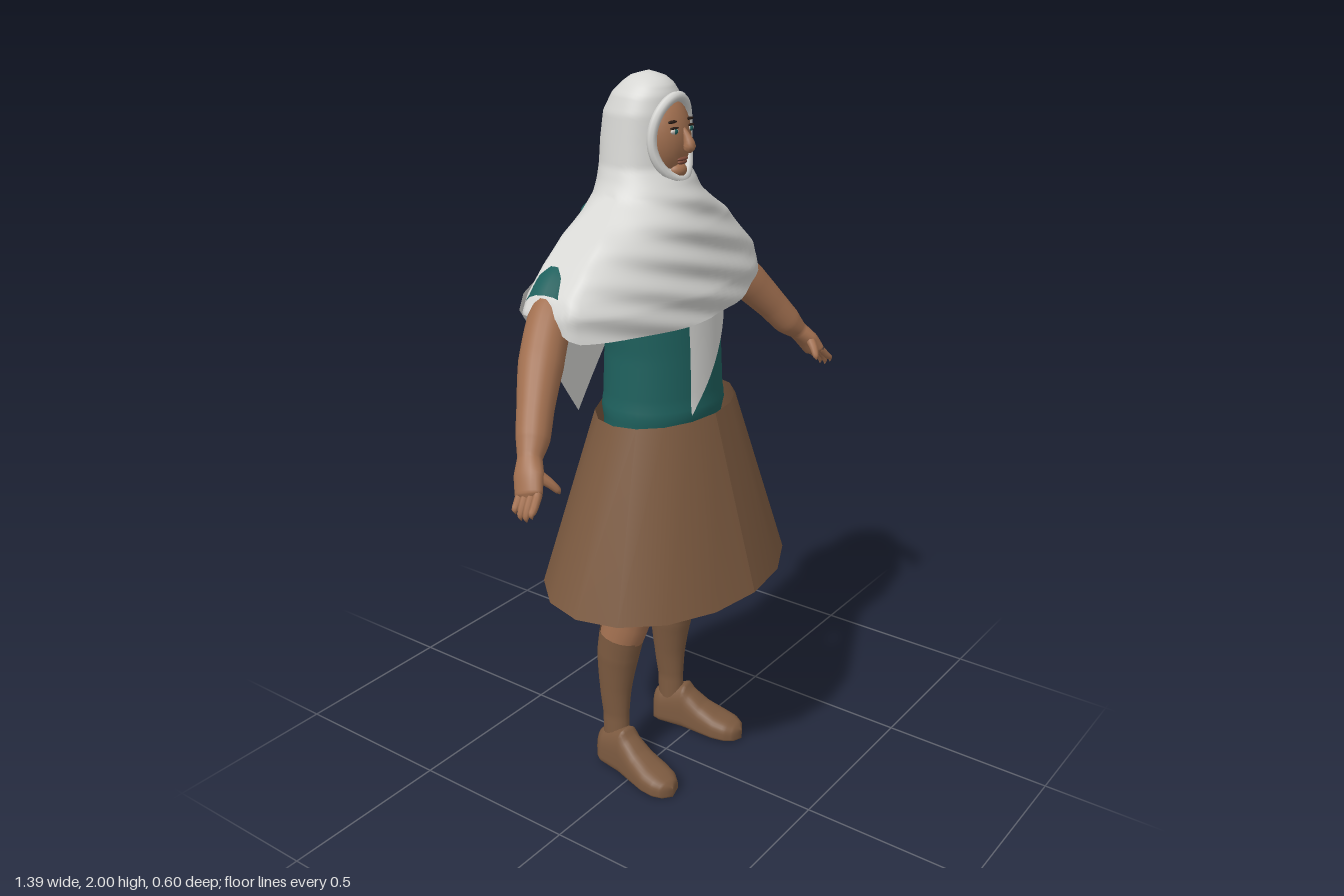
import * as THREE from 'three';
import { mergeVertices } from 'three/addons/utils/BufferGeometryUtils.js';

const mat = (name, color, side = THREE.FrontSide) => {
  const m = new THREE.MeshStandardMaterial({ color, side });
  m.name = name;
  return m;
};

// Smooth surface from a rule (u, v) -> [x, y, z]; it faces du x dv.
function grid(fn, nu, nv) {
  const pos = [], idx = [], w = nu + 1;
  for (let j = 0; j <= nv; j++) for (let i = 0; i <= nu; i++) pos.push(...fn(i / nu, j / nv));
  for (let j = 0; j < nv; j++) for (let i = 0; i < nu; i++) {
    const a = j * w + i, c = a + w;
    idx.push(a, a + 1, c, a + 1, c + 1, c);
  }
  let g = new THREE.BufferGeometry();
  g.setAttribute('position', new THREE.Float32BufferAttribute(pos, 3));
  g.setIndex(idx);
  g = mergeVertices(g, 1e-5);
  g.computeVertexNormals();
  return g;
}

// Linear lookup in rows sorted by their first column.
function lookup(rows, k) {
  let i = 0;
  while (i < rows.length - 2 && k > rows[i + 1][0]) i++;
  const a = rows[i], b = rows[i + 1];
  const t = THREE.MathUtils.clamp((k - a[0]) / (b[0] - a[0]), 0, 1);
  return a.map((v, c) => v + (b[c] - v) * t);
}

// Tapered limb through points [x, y, z, depth radius, width radius].
function limb(pts, side = 1, nu = 18, nv = 28) {
  const curve = new THREE.CatmullRomCurve3(pts.map(p => new THREE.Vector3(p[0] * side, p[1], p[2])));
  const radii = pts.map((p, i) => [i, p[3], p[4] ?? p[3]]);
  return grid((u, v) => {
    const p = curve.getPoint(v), T = curve.getTangent(v);
    const N = new THREE.Vector3(0, 0, 1).addScaledVector(T, -T.z).normalize();
    const B = T.clone().cross(N);
    const [, rn, rb] = lookup(radii, v * (pts.length - 1));
    const a = u * Math.PI * 2;
    return p.addScaledVector(N, rn * Math.cos(a)).addScaledVector(B, rb * Math.sin(a)).toArray();
  }, nu, nv);
}

// Cross-sections: y, half width, front z, back z, z of the widest point
const TORSO = [
  [0.8, 0.19, 0.11, -0.14, -0.02], [1.1, 0.185, 0.135, -0.155, -0.01], [1.14, 0.188, 0.145, -0.162, -0.01],
  [1.17, 0.182, 0.14, -0.158, -0.01], [1.3, 0.174, 0.135, -0.155, -0.01], [1.42, 0.18, 0.13, -0.158, -0.02],
  [1.52, 0.2, 0.1, -0.16, -0.06], [1.6, 0.15, 0.06, -0.15, -0.07], [1.68, 0.05, 0, -0.1, -0.06]];
const SCARF = [
  [1.38, 0.415, 0.148, -0.195, -0.09], [1.46, 0.415, 0.145, -0.195, -0.09], [1.5, 0.395, 0.135, -0.193, -0.09],
  [1.56, 0.335, 0.122, -0.19, -0.09], [1.62, 0.265, 0.108, -0.188, -0.085], [1.66, 0.205, 0.095, -0.186, -0.075],
  [1.7, 0.155, 0.078, -0.186, -0.065], [1.735, 0.135, 0.06, -0.186, -0.06], [1.77, 0.12, 0.035, -0.186, -0.06],
  [1.83, 0.112, 0.03, -0.184, -0.06], [1.9, 0.103, 0.027, -0.175, -0.06], [1.945, 0.085, 0.022, -0.15, -0.06],
  [1.97, 0.064, 0.01, -0.125, -0.058], [1.988, 0.04, -0.012, -0.1, -0.055], [2, 0, -0.054, -0.054, -0.054]];
function section(rows, y, a, grow = 1, blunt = 1) {
  const [, hx, f, b, c] = lookup(rows, y);
  const s = THREE.MathUtils.clamp(Math.sin(a) * blunt, -1, 1), k = Math.cos(a);
  return [hx * s * grow, y, c + (k > 0 ? f - c : c - b) * k * grow];
}

export function createModel() {
  const model = new THREE.Group();
  const white = mat('white cloth', 0xd6d6d3, THREE.DoubleSide);
  const teal = mat('teal cloth', 0x1e605d, THREE.DoubleSide);
  const brown = mat('brown cloth', 0x7c5a40, THREE.DoubleSide);
  const skin = mat('skin', 0xa27050);
  const dark = mat('dark hair', 0x2a1c15);
  const lip = mat('lips', 0x7d4a3a);
  const eyeWhite = mat('eye white', 0xcfc8c0);
  const add = (name, geo, m, x = 0, y = 0, z = 0) => {
    const mesh = new THREE.Mesh(geo, m);
    mesh.name = name;
    mesh.position.set(x, y, z);
    model.add(mesh);
    return mesh;
  };
  const ball = (name, m, x, y, z, sx, sy, sz) =>
    add(name, new THREE.SphereGeometry(1, 28, 20), m, x, y, z).scale.set(sx, sy, sz);
  const TAU = Math.PI * 2, rad = Math.PI / 180;

  // Shirt and skirt
  add('shirt', grid((u, v) => section(TORSO, 1 + 0.68 * v, u * TAU), 40, 40), teal);
  const skirt = new THREE.CylinderGeometry(0.235, 0.405, 0.495, 16, 1, true);
  const sp = skirt.attributes.position;
  for (let i = 0; i < sp.count; i++) sp.setZ(i, sp.getZ(i) * (sp.getY(i) > 0 ? 0.162 / 0.235 : 0.3 / 0.405));
  skirt.computeVertexNormals();
  add('skirt', skirt, brown, 0, 0.8825, 0);
  ball('shortsSeat', brown, 0, 0.86, -0.025, 0.18, 0.15, 0.125);

  // Head scarf and shoulder wrap, with an uneven hem (degrees from the front, hem height)
  const HEM = [[-180, 1.46], [-100, 1.45], [-80, 1.44], [-60, 1.4], [0, 1.39], [30, 1.41],
    [60, 1.46], [90, 1.51], [110, 1.48], [140, 1.44], [180, 1.46]];
  add('headScarf', grid((u, v) => {
    const a = (u * 2 - 1) * Math.PI;
    const y = THREE.MathUtils.lerp(lookup(HEM, a / rad)[1], 2, v);
    const p = section(SCARF, y, a, 1, 1 + 0.1 * THREE.MathUtils.clamp((1.72 - y) / 0.1, 0, 1));
    // soft folds across the chest
    const fold = Math.max(0, Math.cos(a)) * THREE.MathUtils.clamp((1.74 - y) / 0.05, 0, 1);
    p[2] += 0.006 * fold * Math.sin(y * 75 + p[0] * 22);
    return p;
  }, 72, 80), white);
  const rim = [];
  for (let i = 0; i < 24; i++) {
    const a = i / 24 * TAU, s = Math.sin(a);
    rim.push(new THREE.Vector3(0.077 * Math.cos(a), 1.84 + 0.102 * s, 0.012 + (s > 0 ? 0.02 : 0.034) * s * s));
  }
  add('scarfRim', new THREE.TubeGeometry(new THREE.CatmullRomCurve3(rim, true), 60, 0.013, 8, true), white);

  // Front drape: wraps from the chest round the left side
  add('frontDrape', grid((u, v) => {
    const a = THREE.MathUtils.lerp(-23, 85, u) * rad;
    const hem = 1.14 + (Math.sin(a) + 0.39) / 1.39 * 0.33;
    return section(TORSO, THREE.MathUtils.lerp(hem, 1.49, v), a, 1.05);
  }, 30, 12), white);

  // Back drape: pointed tail and a short corner (x, hem height)
  const TAIL = [[-0.41, 1.46], [-0.36, 1.4], [-0.14, 1.1], [0.05, 1.33], [0.1, 1.42],
    [0.16, 1.4], [0.22, 1.33], [0.31, 1.42], [0.37, 1.5]];
  add('backDrape', grid((u, v) => {
    const x = THREE.MathUtils.lerp(-0.41, 0.37, u);
    const y = THREE.MathUtils.lerp(lookup(TAIL, x)[1], 1.62 - 0.28 * Math.abs(x), v);
    return [x, y, -0.183 - 0.016 * (1 - v) + 0.3 * x * x];
  }, 78, 12), white);

  // Collar roll bulging out behind the neck
  const roll = new THREE.SphereGeometry(1, 28, 18).scale(0.145, 0.06, 0.042);
  const rp = roll.attributes.position;
  for (let i = 0; i < rp.count; i++) {
    const x = rp.getX(i);
    rp.setY(i, rp.getY(i) + 2 * x * x);
    rp.setZ(i, rp.getZ(i) + 1.5 * x * x);
  }
  roll.computeVertexNormals();
  add('collarRoll', roll, teal, 0, 1.605, -0.186);

  // Face
  ball('face', skin, 0, 1.84, -0.03, 0.085, 0.12, 0.09);
  ball('chin', skin, 0, 1.76, 0.03, 0.03, 0.022, 0.028);
  add('nose', limb([[0, 1.868, 0.05, 0.006], [0, 1.845, 0.064, 0.012, 0.009], [0, 1.825, 0.072, 0.017, 0.015],
    [0, 1.815, 0.066, 0.012, 0.014], [0, 1.811, 0.06, 0.001]], 1, 12, 12), skin);
  ball('upperLip', lip, 0, 1.79, 0.051, 0.021, 0.005, 0.008);
  ball('lowerLip', lip, 0, 1.782, 0.05, 0.018, 0.006, 0.008);

  for (const s of [1, -1]) {
    const side = s > 0 ? 'left' : 'right';
    ball(side + 'Eye', eyeWhite, 0.033 * s, 1.862, 0.05, 0.015, 0.007, 0.006);
    ball(side + 'Iris', teal, 0.033 * s, 1.862, 0.054, 0.007, 0.0065, 0.004);
    ball(side + 'Lash', dark, 0.033 * s, 1.87, 0.05, 0.017, 0.003, 0.006);
    ball(side + 'Brow', dark, 0.035 * s, 1.885, 0.045, 0.018, 0.004, 0.006);

    // Arm: sleeve, forearm with palm, fingers and thumb
    add(side + 'Sleeve', limb([[0.14, 1.56, -0.1, 0.06], [0.25, 1.53, -0.1, 0.062],
      [0.32, 1.495, -0.093, 0.066], [0.372, 1.457, -0.08, 0.066]], s), teal);
    add(side + 'Arm', limb([[0.3, 1.505, -0.095, 0.05], [0.38, 1.44, -0.075, 0.056], [0.46, 1.353, -0.04, 0.056],
      [0.53, 1.272, 0, 0.046], [0.575, 1.215, 0.028, 0.042], [0.608, 1.18, 0.046, 0.031, 0.028],
      [0.633, 1.15, 0.063, 0.04, 0.025], [0.655, 1.113, 0.08, 0.038, 0.02], [0.664, 1.1, 0.086, 0.004]], s, 18, 48), skin);
    for (let i = 0; i < 4; i++) {
      const z = 0.055 + i * 0.017, drop = i === 0 || i === 3 ? 0.012 : 0;
      add(side + 'Finger' + (i + 1), limb([[0.65, 1.12, z, 0.011], [0.678, 1.092, z + 0.008, 0.01],
        [0.689, 1.072 + drop, z + 0.011, 0.008], [0.688, 1.06 + drop, z + 0.012, 0.001]], s, 8, 10), skin);
    }
    add(side + 'Thumb', limb([[0.626, 1.155, 0.08, 0.016], [0.607, 1.13, 0.108, 0.012],
      [0.597, 1.113, 0.12, 0.009], [0.594, 1.104, 0.124, 0.001]], s, 8, 10), skin);

    // Leg: shorts with a turned cuff, knee and sock
    add(side + 'ShortsLeg', limb([[0.113, 0.605, -0.025, 0.088, 0.07], [0.105, 0.72, -0.025, 0.1, 0.08],
      [0.095, 0.86, -0.025, 0.11, 0.085]], s), brown);
    add(side + 'ShortsCuff', limb([[0.113, 0.625, -0.025, 0.08, 0.062], [0.113, 0.603, -0.025, 0.09, 0.07],
      [0.113, 0.605, -0.025, 0.096, 0.077], [0.111, 0.65, -0.025, 0.099, 0.079], [0.111, 0.655, -0.025, 0.088, 0.068]], s), brown);
    add(side + 'Knee', limb([[0.118, 0.7, -0.025, 0.088, 0.06], [0.12, 0.58, -0.025, 0.08, 0.056],
      [0.125, 0.5, -0.044, 0.07, 0.054], [0.128, 0.43, -0.066, 0.065, 0.056]], s), skin);
    add(side + 'Sock', limb([[0.128, 0.443, -0.064, 0.068, 0.059], [0.13, 0.37, -0.077, 0.064, 0.055],
      [0.134, 0.26, -0.084, 0.05, 0.041], [0.136, 0.17, -0.082, 0.042, 0.031], [0.138, 0.08, -0.08, 0.042, 0.033]], s), brown);

    // Shoe: sections along its length (z, half width, height)
    const SHOE = [[-0.058, 0, 0.07], [-0.055, 0.028, 0.1], [-0.03, 0.041, 0.115], [0.02, 0.043, 0.135],
      [0.05, 0.044, 0.146], [0.065, 0.045, 0.125], [0.11, 0.05, 0.092], [0.16, 0.055, 0.07],
      [0.2, 0.05, 0.058], [0.225, 0.034, 0.046], [0.238, 0, 0.03]];
    const round = (t, p) => Math.sign(t) * Math.abs(t) ** p;
    const shoe = add(side + 'Shoe', grid((u, v) => {
      const a = u * TAU, [z, w, h] = lookup(SHOE, -0.058 + 0.296 * v);
      const up = Math.sin(a);
      return [w * round(Math.cos(a), 0.7) * (1 - 0.12 * up), h / 2 * (1 + round(up, up < 0 ? 0.4 : 0.8)), z];
    }, 28, 44), brown, 0.142 * s, 0, -0.08);
    shoe.rotation.y = 0.16 * s;
  }
  return model;
}
